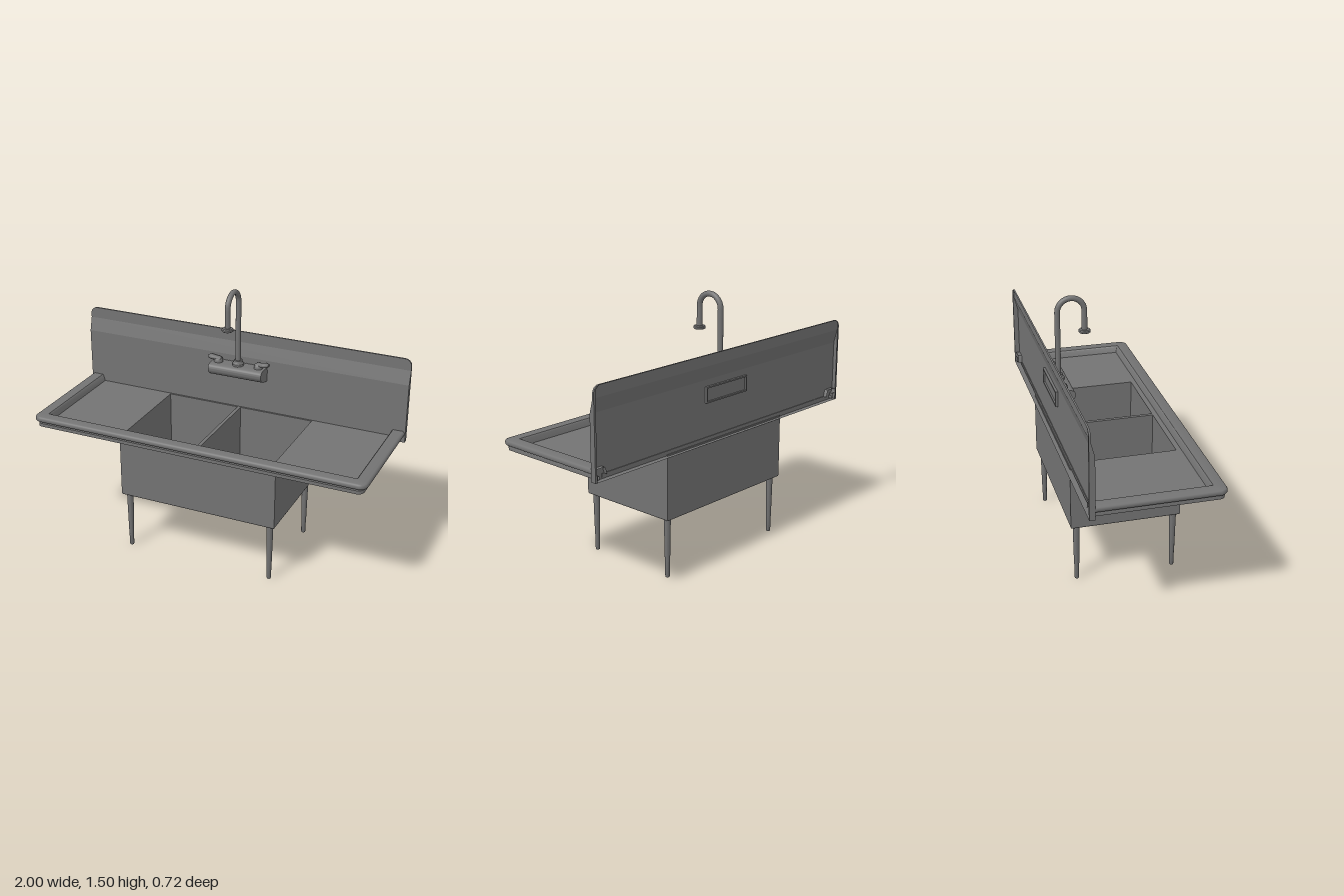
import * as THREE from 'three';
import { toCreasedNormals } from 'three/addons/utils/BufferGeometryUtils.js';

const steel = new THREE.MeshStandardMaterial({ color: 0x737373, side: THREE.DoubleSide });

function add(parent, name, geometry, x = 0, y = 0, z = 0) {
  const mesh = new THREE.Mesh(geometry, steel);
  mesh.name = name;
  mesh.position.set(x, y, z);
  parent.add(mesh);
  return mesh;
}

// Sheet surface through rows of [x, y, z] points
function sheet(rows, crease = 0.6) {
  const n = rows[0].length, index = [];
  for (let i = 0; i < rows.length - 1; i++) {
    for (let j = 0; j < n - 1; j++) {
      const a = i * n + j, b = a + n;
      index.push(a, a + 1, b, b, a + 1, b + 1);
    }
  }
  const g = new THREE.BufferGeometry();
  g.setAttribute('position', new THREE.Float32BufferAttribute(rows.flat(2), 3));
  g.setIndex(index);
  g.computeVertexNormals();
  return toCreasedNormals(g, crease);
}

function rectPath(Type, x0, x1, y0, y1) {
  return new Type([[x0, y0], [x1, y0], [x1, y1], [x0, y1]].map(([x, y]) => new THREE.Vector2(x, y)));
}

// Horizontal plate (x, z extents) with rectangular openings, from y0 to y1
function plate([x0, x1, z0, z1], holes, y0, y1) {
  const shape = rectPath(THREE.Shape, x0, x1, -z1, -z0);
  for (const [a, b, c, d] of holes) shape.holes.push(rectPath(THREE.Path, a, b, -d, -c));
  return new THREE.ExtrudeGeometry(shape, { depth: y1 - y0, bevelEnabled: false })
    .rotateX(-Math.PI / 2).translate(0, y0, 0);
}

const lathe = (points, sides = 24) =>
  toCreasedNormals(new THREE.LatheGeometry(points.map(p => new THREE.Vector2(...p)), sides), 0.6);

// Rolled rim around the two ends and the front, with rounded front corners.
// Profile points: inset, height, extra inset at the ends
function rimGeometry() {
  const profile = [[0.082, 0.733], [0.072, 0.768], [0.066, 0.774], [0.012, 0.775], [0.004, 0.771], [0, 0.764],
    [0, 0.752], [0.004, 0.746], [0.02, 0.743], [0.02, 0.737], [0.009, 0.735, 0.01], [0.009, 0.715, 0.01],
    [0.03, 0.715], [0.03, 0.733]];
  return sheet(profile.map(([d, y, ends = 0]) => {
    const r = Math.max(0.045 - d, 0.002), cx = 0.995 - d - ends - r, cz = 0.36 - d - r;
    const half = [[cx + r, y, -0.354]];
    for (let k = 0; k <= 8; k++) {
      const a = k / 8 * Math.PI / 2;
      half.push([cx + r * Math.cos(a), y, cz + r * Math.sin(a)]);
    }
    return [...half, ...half.map(([x, yy, z]) => [-x, yy, z]).reverse()];
  }));
}

// Folded splash sheet: open back, stepped-back top, rounded upper corners
function splashGeometry() {
  const rows = [], back = -0.362, r = 0.04;
  const row = (y, w, z) => rows.push([[-w + 0.012, y, back], [-w, y, back], [-w, y, z],
    [w, y, z], [w, y, back], [w - 0.012, y, back]]);
  row(0.707, 1, back);
  row(0.707, 1, -0.331);
  row(1.055, 1, -0.331);
  row(1.135, 1, -0.352);
  for (let k = 0; k <= 8; k++) {
    const a = k / 8 * Math.PI / 2;
    row(1.16 + r * Math.sin(a), 1 - r + r * Math.cos(a), -0.352);
  }
  row(1.2, 1 - r, back);
  return sheet(rows, 0.22);
}

function createFaucet() {
  const faucet = new THREE.Group();
  faucet.name = 'faucet';

  // Wall-mounted body, rounded at the front
  const side = new THREE.Shape();
  side.moveTo(0.335, 0.93);
  side.lineTo(0.295, 0.936);
  side.bezierCurveTo(0.26, 0.942, 0.232, 0.962, 0.232, 0.988);
  side.bezierCurveTo(0.232, 1.008, 0.25, 1.017, 0.27, 1.017);
  side.lineTo(0.335, 1.017);
  side.closePath();
  const body = new THREE.ExtrudeGeometry(side, { depth: 0.33, bevelEnabled: false, curveSegments: 10 });
  add(faucet, 'faucetBody', toCreasedNormals(body.rotateY(Math.PI / 2).translate(-0.165, 0, 0), 0.6));

  // Mounting frame behind the splash
  const frame = rectPath(THREE.Shape, -0.166, 0.166, 0.928, 1.018);
  frame.holes.push(rectPath(THREE.Path, -0.158, 0.158, 0.936, 1.01));
  add(faucet, 'mountingFrame', new THREE.ExtrudeGeometry(frame, { depth: 0.015, bevelEnabled: false }), 0, 0, -0.345);

  // Gooseneck spout with collar and nozzle
  const neck = new THREE.CurvePath();
  const v = (y, z) => new THREE.Vector3(0, y, z);
  const arc = [];
  for (let k = 0; k <= 12; k++) {
    const a = k / 12 * Math.PI;
    arc.push(v(1.405 + 0.075 * Math.sin(a), -0.216 - 0.075 * Math.cos(a)));
  }
  arc.reverse();
  neck.add(new THREE.LineCurve3(v(1.01, arc[12].z), arc[12]));
  arc.reverse();
  neck.add(new THREE.CatmullRomCurve3(arc));
  neck.add(new THREE.LineCurve3(arc[12], v(1.285, -0.141)));
  add(faucet, 'spout', new THREE.TubeGeometry(neck, 80, 0.0155, 16));
  add(faucet, 'spoutCollar', lathe([[0.033, 0], [0.033, 0.014], [0.027, 0.02], [0.024, 0.034], [0, 0.034]]), 0, 1.015, -0.291);
  add(faucet, 'nozzle', lathe([[0, 0], [0.028, 0], [0.033, 0.004], [0.033, 0.014], [0.028, 0.019], [0, 0.019]]), 0, 1.277, -0.141);

  // Lever handles pointing outward
  for (const s of [-1, 1]) {
    const handle = new THREE.Group();
    handle.name = s > 0 ? 'leftHandle' : 'rightHandle';
    handle.position.set(s * 0.125, 1.015, -0.295);
    add(handle, 'handleHub', lathe([[0.026, 0], [0.026, 0.01], [0.023, 0.022], [0.014, 0.031], [0, 0.034]]));
    const lever = add(handle, 'lever', lathe([[0, -0.022], [0.012, -0.018], [0.015, 0], [0.015, 0.02],
      [0.017, 0.04], [0.014, 0.054], [0.008, 0.064], [0, 0.066]], 16), 0, 0.022, 0);
    lever.rotation.z = -s * 1.48;
    lever.scale.set(0.85, 1, 1.3);
    faucet.add(handle);
  }
  return faucet;
}

export function createModel() {
  const sink = new THREE.Group();
  sink.name = 'sink';
  const basins = [[-0.455, -0.015, -0.32, 0.25], [0.005, 0.45, -0.32, 0.25]];
  const tub = [-0.478, 0.468, -0.34, 0.275];

  // Worktop and raised edge
  add(sink, 'drainboards', plate([-0.93, 0.93, -0.335, 0.295], basins, 0.715, 0.735));
  add(sink, 'rim', rimGeometry());
  add(sink, 'backsplash', splashGeometry());

  // Two-basin tub with a softened bottom edge
  add(sink, 'tubWalls', plate(tub, basins, 0.35, 0.715));
  const [x0, x1, z0, z1] = tub;
  const loop = (d, y) => [[x0 + d, y, z0 + d], [x1 - d, y, z0 + d], [x1 - d, y, z1 - d], [x0 + d, y, z1 - d], [x0 + d, y, z0 + d]];
  add(sink, 'tubBottomEdge', sheet([loop(0, 0.35), loop(0.003, 0.343), loop(0.01, 0.34)]));
  add(sink, 'tubFloor', plate([x0 + 0.01, x1 - 0.01, z0 + 0.01, z1 - 0.01], [], 0.34, 0.351));

  // Tapered legs with adjustable feet
  const leg = lathe([[0, 0], [0.011, 0], [0.0125, 0.004], [0.0135, 0.09], [0.0145, 0.095], [0.019, 0.345]], 20);
  for (const x of [-0.44, 0.432]) {
    for (const z of [-0.303, 0.245]) add(sink, z > 0 ? 'frontLeg' : 'backLeg', leg, x, 0, z);
  }

  sink.add(createFaucet());
  return sink;
}
